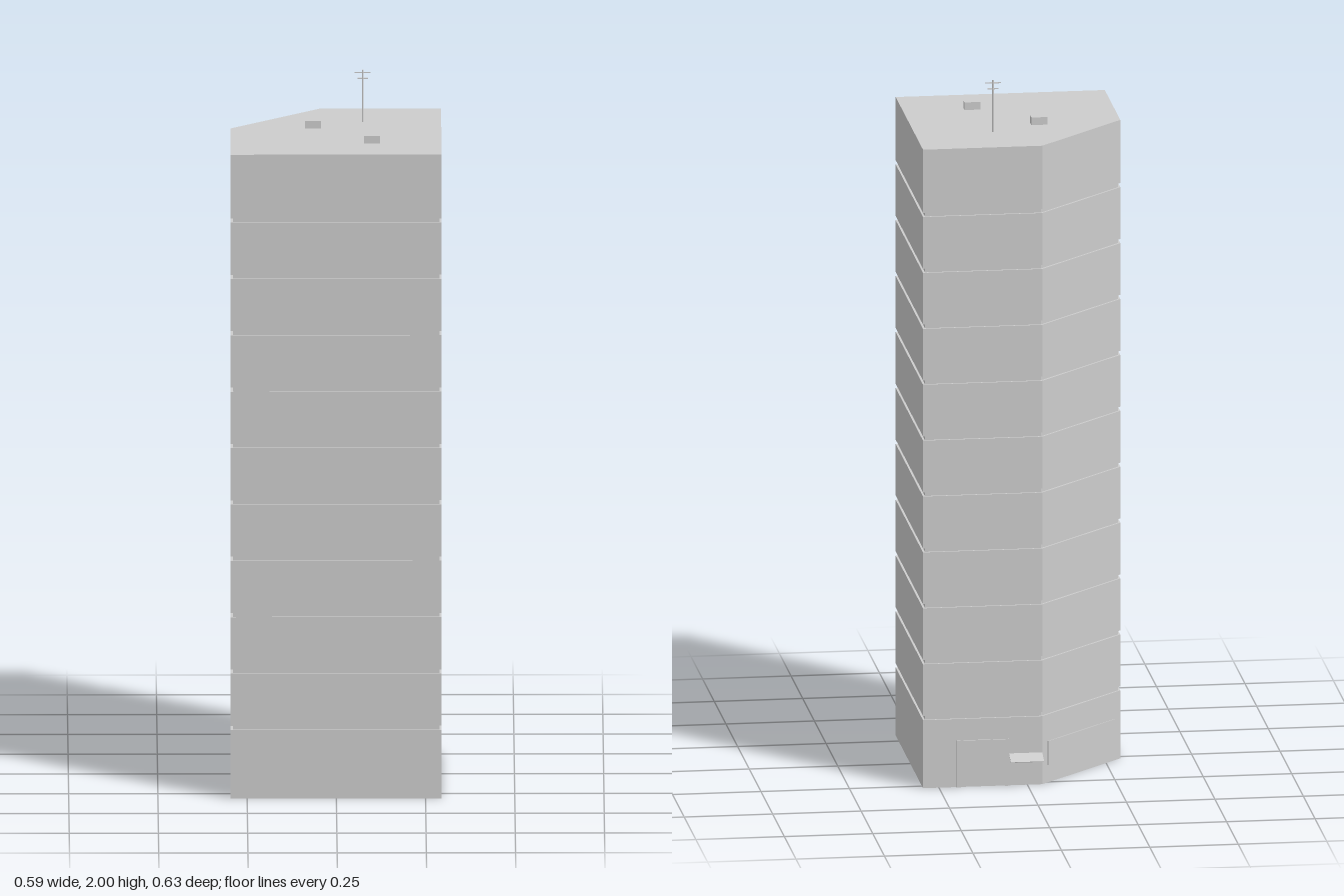
import * as THREE from 'three';

export function createModel() {
  const model = new THREE.Group();
  const concrete = new THREE.MeshStandardMaterial({ color: 0xcccccc, side: THREE.DoubleSide });
  concrete.name = 'concrete grey';

  function add(name, geometry, x = 0, y = 0, z = 0, parent = model) {
    const mesh = new THREE.Mesh(geometry, concrete);
    mesh.name = name;
    mesh.position.set(x, y, z);
    parent.add(mesh);
    return mesh;
  }
  const box = (name, w, h, d, x, y, z, parent) =>
    add(name, new THREE.BoxGeometry(w, h, d), x, y, z, parent);

  // Five-sided floor plan with one cut corner, drawn in x and -z; d insets it
  function storey(name, y0, y1, d = 0) {
    const c = d * 0.414;
    const plan = new THREE.Shape([
      [-0.296 + d, -0.312 + d], [0.295 - d, -0.312 + d], [0.295 - d, 0.273 - d],
      [-0.042 + c, 0.273 - d], [-0.296 + d, 0.02 - c],
    ].map(([x, y]) => new THREE.Vector2(x, y)));
    const geometry = new THREE.ExtrudeGeometry(plan, { depth: y1 - y0, bevelEnabled: false });
    geometry.rotateX(-Math.PI / 2);
    add(name, geometry, 0, y0, 0);
  }

  // Eleven storeys separated by narrow recessed joints
  const roof = 1.85, pitch = 0.162, joint = 0.012;
  let base = 0;
  for (let i = 0; i < 10; i++) {
    const y = 0.203 + i * pitch;
    storey('storey', base, y - joint / 2);
    storey('recessedJoint', y - joint / 2, y + joint / 2, 0.006);
    base = y + joint / 2;
  }
  storey('topStorey', base, roof);

  // Back entrance: raised frame around a plain door
  const back = -0.273;
  for (const x of [0.058, 0.194]) box('doorPost', 0.012, 0.135, 0.005, x, 0.0675, back - 0.002);
  box('doorLintel', 0.124, 0.012, 0.005, 0.126, 0.129, back - 0.002);

  // Side window below a sloping awning
  box('counterWindow', 0.086, 0.055, 0.002, 0.005, 0.057, back - 0.0005);
  const awning = box('awning', 0.094, 0.002, 0.045, 0.005, 0.084, back - 0.02);
  awning.rotation.x = -0.35;

  // Long shop window on the cut corner
  const shop = box('shopWindow', 0.307, 0.07, 0.004, -0.169, 0.085, -0.1475);
  shop.rotation.y = Math.PI / 4;

  // Rooftop vents
  for (const [x, z] of [[-0.064, -0.031], [0.1, 0.158]])
    box('roofVent', 0.045, 0.022, 0.027, x, roof + 0.011, z);

  // Antenna with two crossbars
  const antenna = new THREE.Group();
  antenna.name = 'antenna';
  antenna.position.set(0.075, roof, -0.103);
  model.add(antenna);
  add('mast', new THREE.CylinderGeometry(0.0025, 0.0025, 0.15, 8), 0, 0.075, 0, antenna);
  box('upperCrossbar', 0.045, 0.003, 0.003, 0, 0.142, 0, antenna);
  box('lowerCrossbar', 0.03, 0.003, 0.003, 0, 0.125, 0, antenna);

  return model;
}
